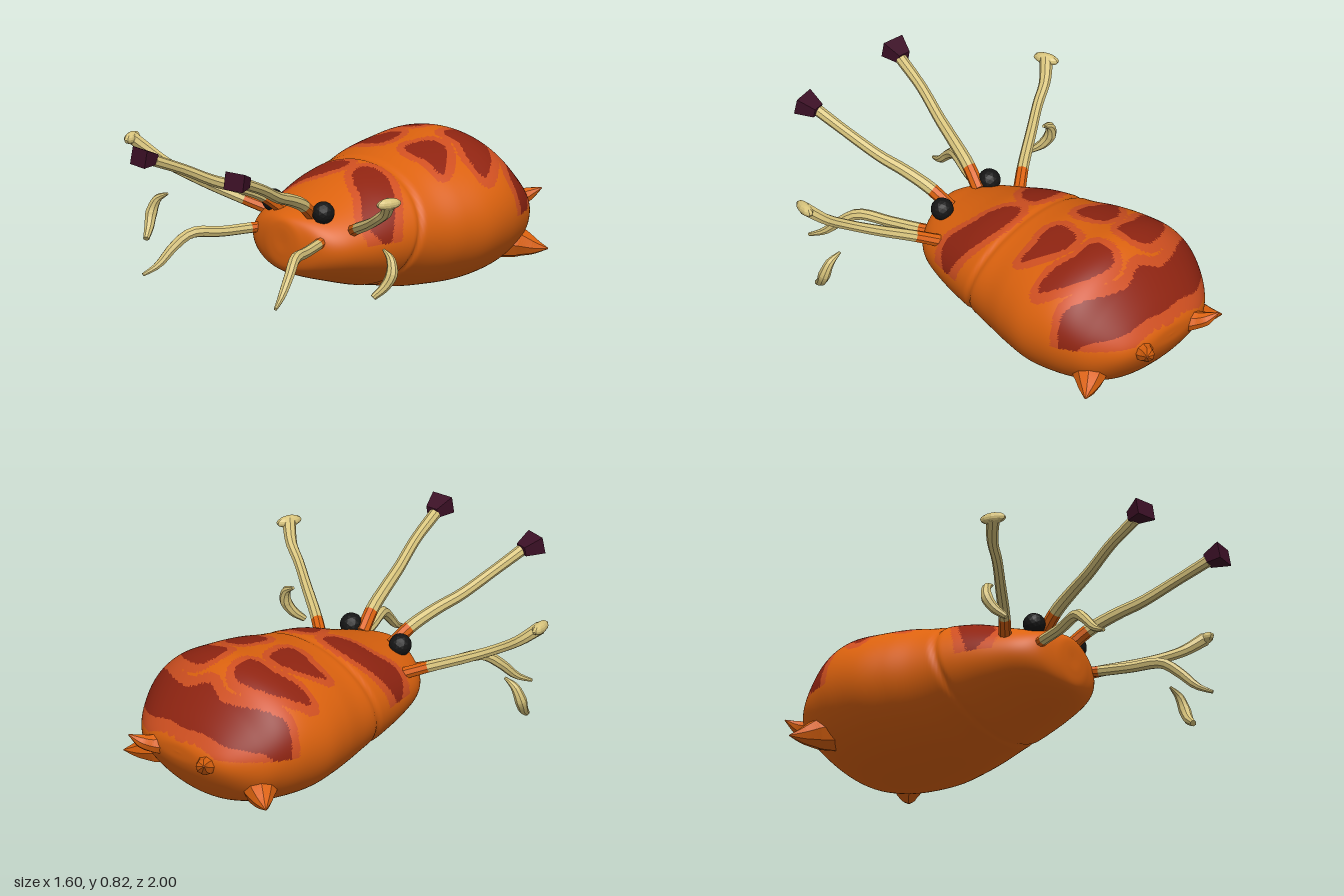
import * as THREE from 'three';

const paint = (name, color) => {
  const m = new THREE.MeshStandardMaterial({ color });
  m.name = name;
  return m;
};

// Joins equal-length rings of Vector3 into a closed skin
function loft(rings) {
  const n = rings[0].length, index = [];
  for (let i = 0; i < rings.length - 1; i++) {
    for (let j = 0; j < n; j++) {
      const a = i * n + j, b = i * n + (j + 1) % n;
      index.push(a, b, a + n, b, b + n, a + n);
    }
  }
  const g = new THREE.BufferGeometry().setFromPoints(rings.flat());
  g.setIndex(index);
  return g;
}

function faceted(geometry) {
  const g = geometry.toNonIndexed();
  g.computeVertexNormals();
  return g;
}

// Tapered limb along a curve, between the fractions t0 and t1
function limb(points, radii, t0 = 0, t1 = 1, sides = 8) {
  const curve = new THREE.CatmullRomCurve3(points.map(p => new THREE.Vector3(...p)));
  const steps = 40, frames = curve.computeFrenetFrames(steps);
  const rings = [];
  const addRing = (k, scale) => {
    const c = curve.getPointAt(k / steps);
    const f = k / steps * (radii.length - 1), i = Math.min(Math.floor(f), radii.length - 2);
    const r = scale * THREE.MathUtils.lerp(radii[i], radii[i + 1], f - i);
    rings.push(Array.from({ length: sides }, (_, j) => {
      const a = j / sides * Math.PI * 2;
      return c.clone().addScaledVector(frames.normals[k], r * Math.cos(a))
        .addScaledVector(frames.binormals[k], r * Math.sin(a));
    }));
  };
  const first = Math.round(t0 * steps), last = Math.round(t1 * steps);
  addRing(first, 0);
  for (let k = first; k <= last; k += 2) addRing(k, 1);
  addRing(last, 1);
  addRing(last, 0);
  return faceted(loft(rings));
}

// Body stations: z, half width, bottom, top
const STATIONS = [
  [0.385, 0, 0.33, 0.33], [0.385, 0.06, 0.27, 0.40], [0.375, 0.12, 0.215, 0.435],
  [0.34, 0.21, 0.185, 0.455], [0.27, 0.275, 0.155, 0.475], [0.15, 0.325, 0.115, 0.515],
  [0.02, 0.36, 0.075, 0.565], [-0.08, 0.38, 0.055, 0.588], [-0.2, 0.405, 0.025, 0.605],
  [-0.32, 0.44, 0.01, 0.63], [-0.45, 0.465, 0.001, 0.643], [-0.58, 0.455, 0.006, 0.655],
  [-0.68, 0.425, 0.025, 0.625], [-0.77, 0.375, 0.065, 0.54], [-0.85, 0.30, 0.14, 0.455],
  [-0.9, 0.225, 0.21, 0.39], [-0.925, 0.13, 0.265, 0.35], [-0.93, 0, 0.31, 0.31],
];

// Back markings as outlines of |x|, z seen from above
const SPOTS = [
  [[.35, .07], [.31, 0], [.20, -.08], [.10, -.10], [.04, -.08], [.04, -.02], [.10, .04], [.18, .08], [.26, .15], [.31, .14]],
  [[.29, -.31], [.24, -.40], [.15, -.465], [.085, -.45], [.06, -.32], [.12, -.295], [.2, -.31]],
  [[.375, -.49], [.31, -.60], [.2, -.67], [.1, -.68], [.06, -.62], [.075, -.545], [.18, -.535], [.29, -.485]],
  [[-.1, -.875], [.12, -.875], [.23, -.86], [.34, -.79], [.44, -.67], [.39, -.645], [.31, -.69], [.2, -.745], [.1, -.765], [0, -.735], [-.1, -.765]],
].map(s => new THREE.CatmullRomCurve3(s.map(([x, z]) => new THREE.Vector3(x, 0, z)), true).getPoints(60));

// 0 = plain shell, 1 = dark spot, 2 = paler rim around a spot
function marking(x, y, z) {
  if (y < 0.33) return 0;
  let rim = false;
  for (const s of SPOTS) {
    let inside = false;
    for (let i = 0, j = s.length - 1; i < s.length; j = i++) {
      const a = s[i], b = s[j];
      if ((a.z > z) !== (b.z > z) && x < (b.x - a.x) * (z - a.z) / (b.z - a.z) + a.x) inside = !inside;
      if (Math.hypot(a.x - x, a.z - z) < 0.036) rim = true;
    }
    if (inside) return 1;
  }
  return rim ? 2 : 0;
}

function bodyGeometry() {
  const width = new THREE.CatmullRomCurve3(STATIONS.map(([z, w]) => new THREE.Vector3(z, w, 0)), false, 'catmullrom');
  const height = new THREE.CatmullRomCurve3(STATIONS.map(([z, , lo, hi]) => new THREE.Vector3(z, lo, hi)), false, 'catmullrom');
  const count = 160, sides = 180, rings = [];
  for (let i = 0; i <= count; i++) {
    const { x: z, y: w } = width.getPoint(i / count);
    const { y: lo, z: hi } = height.getPoint(i / count);
    const cy = (lo + hi) / 2;
    rings.push(Array.from({ length: sides }, (_, j) => {
      const a = j / sides * Math.PI * 2;
      const dy = Math.sin(a) * (hi - lo) / 2;
      // Slanted groove between head and abdomen
      const groove = (z + 0.15 - 0.25 * (0.6 - cy - dy)) / 0.014;
      const k = 1 - 0.03 * Math.exp(-groove * groove);
      return new THREE.Vector3(-w * Math.cos(a) * k, cy + dy * k, z);
    }));
  }
  const g = loft(rings);
  g.computeVertexNormals();

  // Sort the faces into one group per colour
  const p = g.attributes.position, id = g.index.array, faces = [[], [], []];
  for (let i = 0; i < id.length; i += 3) {
    const t = [id[i], id[i + 1], id[i + 2]];
    const mean = f => (f(t[0]) + f(t[1]) + f(t[2])) / 3;
    const m = marking(Math.abs(mean(k => p.getX(k))), mean(k => p.getY(k)), mean(k => p.getZ(k)));
    faces[m].push(...t);
  }
  g.setIndex(faces.flat());
  let start = 0;
  faces.forEach((f, m) => { g.addGroup(start, f.length, m); start += f.length; });
  return g;
}

export function createModel() {
  const orange = paint('shell orange', 0xdc620e);
  const red = paint('spot red', 0x8f2411);
  const rust = paint('spot rim', 0xcf4f20);
  const cream = paint('limb cream', 0xd8c47c);
  const black = paint('eye black', 0x151515);
  const plum = paint('tip plum', 0x3c1026);

  const model = new THREE.Group();
  model.name = 'beetle';
  const body = new THREE.Mesh(bodyGeometry(), [orange, red, rust]);
  body.name = 'body';
  model.add(body);

  // Paired parts are built on the left and mirrored
  const pair = (name, geometry, material) => {
    for (const side of [1, -1]) {
      const m = new THREE.Mesh(geometry, material);
      m.name = (side > 0 ? 'left ' : 'right ') + name;
      m.scale.x = side;
      model.add(m);
    }
  };
  const jointed = (name, points, radii, split) => {
    pair(name + ' base', limb(points, radii, 0, split), orange);
    pair(name, limb(points, radii, split, 1), cream);
  };

  // Feelers with flared tips
  jointed('feeler', [[.09, .45, .29], [.12, .52, .38], [.155, .575, .5], [.19, .615, .61], [.235, .69, .76], [.265, .755, .91]],
    [.03, .029, .027, .025, .024, .026], 0.15);
  const tip = new THREE.CylinderGeometry(0.072, 0.04, 0.085, 4).rotateY(Math.PI / 4).rotateX(Math.PI / 2);
  tip.scale(1, 0.78, 1).rotateX(-0.2).rotateY(0.15).translate(0.28, 0.77, 0.942);
  pair('feeler tip', faceted(tip), plum);

  // Front legs bending down
  jointed('front leg', [[.16, .355, .28], [.20, .355, .37], [.25, .355, .5], [.31, .362, .63], [.345, .31, .70], [.37, .235, .775], [.397, .2, .84]],
    [.024, .024, .024, .025, .024, .02, .008], 0.15);

  // Side legs rising outward to flat feet
  jointed('side leg', [[.25, .395, .2], [.35, .44, .27], [.5, .505, .36], [.62, .565, .43], [.70, .615, .465], [.77, .68, .52]],
    [.028, .026, .025, .023, .024, .03], 0.18);
  pair('side foot', faceted(new THREE.SphereGeometry(1, 10, 8).scale(0.026, 0.026, 0.06)
    .rotateY(-0.3).translate(0.77, 0.68, 0.52)), cream);

  // Loose curved claws below the side feet
  pair('claw', limb([[.648, .432, .425], [.70, .40, .435], [.72, .34, .45], [.705, .285, .48], [.68, .243, .525]],
    [.006, .02, .027, .022, .014]), cream);

  // Eyes
  pair('eye', faceted(new THREE.IcosahedronGeometry(0.05, 2).translate(0.15, 0.472, 0.283)), black);

  // Spikes at the tail and rear flanks
  pair('tail spike', limb([[.13, .29, -.87], [.165, .295, -.92], [.185, .31, -.96], [.23, .34, -1]], [.055, .042, .03, .003]), orange);
  pair('flank spike', limb([[.28, .18, -.71], [.335, .165, -.755], [.385, .15, -.79], [.435, .142, -.825]], [.085, .07, .04, .003]), orange);

  return model;
}
